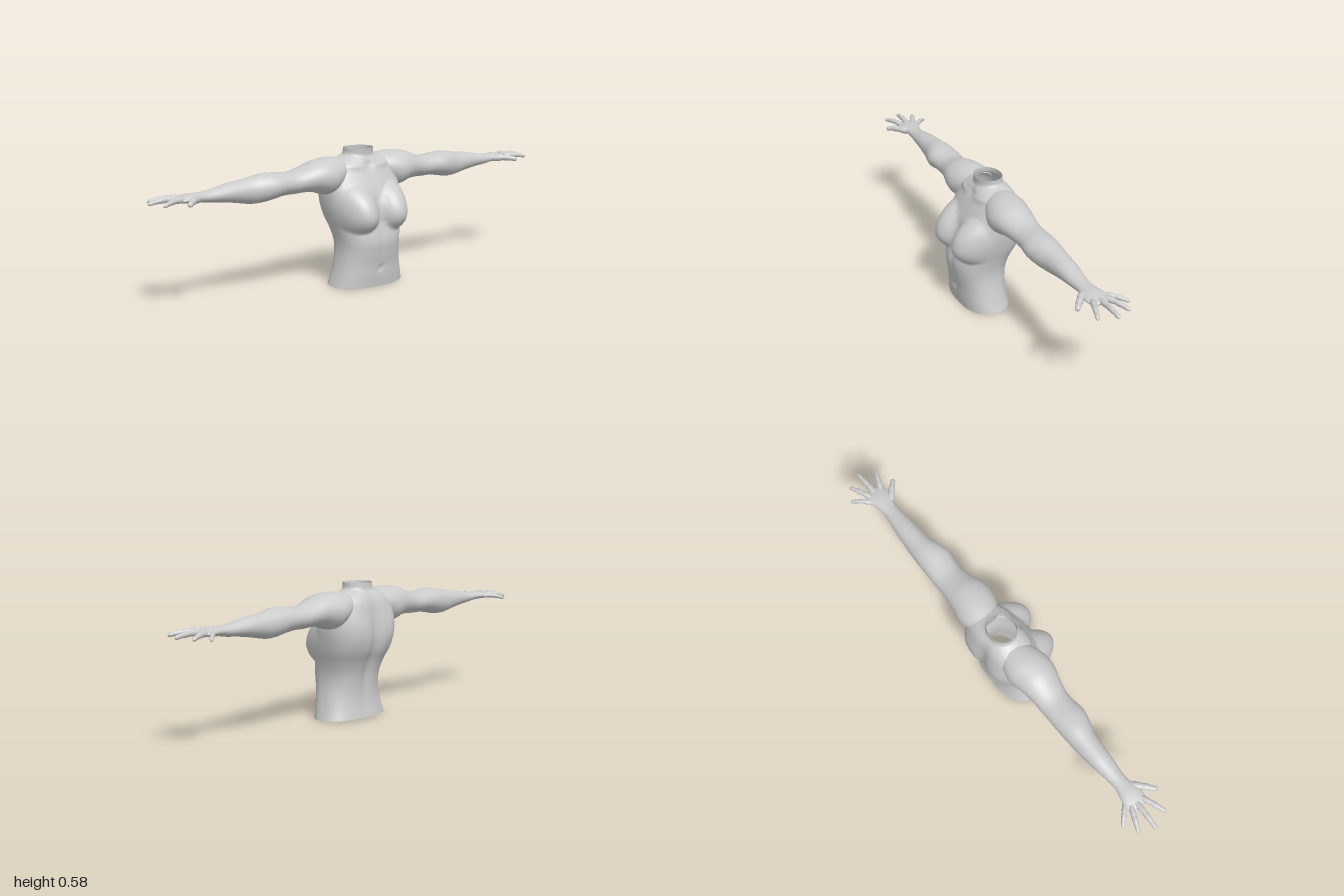
import * as THREE from 'three';

const skinMat = new THREE.MeshStandardMaterial({ color: 0xcccccc, side: THREE.DoubleSide });
const bell = (v, c, w) => Math.exp(-(((v - c) / w) ** 2));
const spow = (v, e) => Math.sign(v) * Math.abs(v) ** e;

// Smooth in-between rows for a list of measured stations
function refine(rows, steps) {
  const out = [];
  for (let i = 0; i < rows.length - 1; i++) {
    const [a, b, c, d] = [-1, 0, 1, 2].map(k => rows[Math.min(rows.length - 1, Math.max(0, i + k))]);
    for (let s = 0; s < steps; s++) {
      const t = s / steps;
      out.push(b.map((v, k) => v + 0.5 * t * (c[k] - a[k] +
        t * (2 * a[k] - 5 * v + 4 * c[k] - d[k] + t * (3 * (v - c[k]) + d[k] - a[k])))));
    }
  }
  out.push(rows[rows.length - 1]);
  return out;
}

// Closed rings of points joined into one smooth skin
function loft(name, rows, segments, pointAt) {
  const pos = [], index = [];
  rows.forEach((row, i) => {
    for (let j = 0; j < segments; j++) {
      pos.push(...pointAt(row, (j / segments) * Math.PI * 2));
      if (i === rows.length - 1) continue;
      const a = i * segments + j, b = i * segments + (j + 1) % segments;
      index.push(a, a + segments, b, b, a + segments, b + segments);
    }
  });
  const geo = new THREE.BufferGeometry();
  geo.setAttribute('position', new THREE.Float32BufferAttribute(pos, 3));
  geo.setIndex(index);
  geo.computeVertexNormals();
  const mesh = new THREE.Mesh(geo, skinMat);
  mesh.name = name;
  return mesh;
}

// Torso stations: height, half width, front z, back z
const TORSO = [
  [0.005, 0.176, 0.11, -0.102], [0.05, 0.163, 0.116, -0.094], [0.1, 0.151, 0.121, -0.09],
  [0.15, 0.143, 0.13, -0.093], [0.2, 0.144, 0.136, -0.102], [0.25, 0.155, 0.128, -0.12],
  [0.3, 0.17, 0.116, -0.145], [0.35, 0.181, 0.107, -0.157], [0.4, 0.187, 0.093, -0.156],
  [0.45, 0.184, 0.07, -0.148], [0.5, 0.168, 0.045, -0.137], [0.53, 0.14, 0.032, -0.123],
  [0.548, 0.095, 0.021, -0.108], [0.56, 0.071, 0.018, -0.102], [0.584, 0.067, 0.02, -0.099],
];

function torsoPoint([y, w, front, back], angle) {
  const neck = THREE.MathUtils.smoothstep(y, 0.5, 0.56);
  const e = 2 / (2.4 - 0.4 * neck);
  const c = Math.cos(angle), s = Math.sin(angle);
  const x = w * spow(c, e);
  const mid = (front + back) / 2;
  let z = mid + ((front - back) / 2) * spow(s, e);
  const ax = Math.abs(x);
  if (s > 0) {
    // breasts, fuller below than above
    const r2 = ((ax - 0.097) / 0.088) ** 2 + ((y - 0.318) / (y < 0.318 ? 0.076 : 0.125)) ** 2;
    z += 0.064 * Math.max(0, 1 - r2) ** 0.9 * Math.min(1, s * 2.5);
    // midline, navel, collarbones and the notch between them
    z -= 0.006 * bell(x, 0, 0.015) * bell(y, 0.25, 0.16);
    z -= 0.01 * bell(x, 0, 0.01) * bell(y, 0.085, 0.012);
    z += 0.006 * bell(y, 0.505 + ax * 0.12, 0.012) * bell(ax, 0.08, 0.05);
    z -= 0.008 * bell(x, 0, 0.018) * bell(y, 0.515, 0.02);
  } else {
    // spine furrow and shoulder blades
    z += 0.02 * bell(x, 0, 0.028) * bell(y, 0.3, 0.2);
    z -= 0.008 * bell(ax, 0.1, 0.045) * bell(y, 0.4, 0.08);
  }
  return [x, y + 0.004 * (s < 0 ? -s : 0) * bell(y, 0, 0.1) - 0.003 * Math.max(0, s) * bell(y, 0, 0.1), z];
}

// Arm stations: x, top y, bottom y, front z, back z
const ARM = [
  [0.085, 0.548, 0.45, 0.015, -0.112], [0.13, 0.554, 0.42, 0.038, -0.128],
  [0.17, 0.556, 0.4, 0.052, -0.134], [0.21, 0.553, 0.405, 0.054, -0.127],
  [0.25, 0.546, 0.418, 0.046, -0.119], [0.3, 0.528, 0.422, 0.031, -0.113],
  [0.35, 0.515, 0.42, 0.021, -0.111], [0.4, 0.516, 0.42, 0.023, -0.111],
  [0.45, 0.521, 0.413, 0.029, -0.11], [0.5, 0.52, 0.404, 0.018, -0.108],
  [0.55, 0.511, 0.403, 0.003, -0.104], [0.6, 0.504, 0.412, -0.003, -0.1],
  [0.65, 0.498, 0.421, -0.007, -0.096], [0.7, 0.488, 0.428, -0.011, -0.089],
  [0.75, 0.48, 0.433, -0.016, -0.082], [0.785, 0.478, 0.439, -0.014, -0.083],
  [0.82, 0.478, 0.442, -0.004, -0.091], [0.85, 0.475, 0.444, -0.002, -0.1],
  [0.875, 0.47, 0.447, -0.007, -0.098], [0.89, 0.465, 0.451, -0.022, -0.084],
  [0.895, 0.459, 0.457, -0.05, -0.056],
];

function armPoint([x, top, bottom, front, back], angle) {
  return [x, (top + bottom) / 2 + ((top - bottom) / 2) * Math.sin(angle),
    (front + back) / 2 + ((front - back) / 2) * Math.cos(angle)];
}

// Fingers: name, base, tip, radius
const FINGERS = [
  ['littleFinger', [0.845, 0.458, -0.088], [0.912, 0.446, -0.157], 0.0105],
  ['ringFinger', [0.865, 0.46, -0.076], [0.968, 0.451, -0.122], 0.012],
  ['middleFinger', [0.87, 0.461, -0.052], [1, 0.455, -0.056], 0.0125],
  ['indexFinger', [0.865, 0.461, -0.024], [0.972, 0.455, 0.019], 0.012],
  ['thumb', [0.8, 0.457, -0.022], [0.882, 0.452, 0.052], 0.015],
];

// Radius along a finger: joints swell, the tip closes
const FINGER_SHAPE = [[0, 1], [0.25, 1.05], [0.4, 0.88], [0.55, 0.95], [0.72, 0.76],
  [0.88, 0.72], [0.96, 0.5], [1, 0.01]];

function finger([name, base, tip, radius]) {
  const a = new THREE.Vector3(...base), b = new THREE.Vector3(...tip);
  const dir = b.clone().sub(a).normalize();
  const u = dir.clone().cross(new THREE.Vector3(0, 1, 0)).normalize();
  const v = u.clone().cross(dir);
  return loft(name, refine(FINGER_SHAPE, 3), 12, ([t, k], angle) => {
    const p = a.clone().lerp(b, t);
    p.y += 0.006 * Math.sin(Math.PI * t);
    return p.addScaledVector(u, radius * k * Math.cos(angle))
      .addScaledVector(v, radius * k * Math.sin(angle)).toArray();
  });
}

function makeArm(name) {
  const arm = new THREE.Group();
  arm.name = name;
  arm.add(loft('armAndPalm', refine(ARM, 4), 36, armPoint));
  FINGERS.forEach(f => arm.add(finger(f)));
  return arm;
}

export function createModel() {
  const model = new THREE.Group();
  model.name = 'torsoWithArms';
  model.add(loft('torso', refine(TORSO, 6), 96, torsoPoint));
  const right = makeArm('rightArm');
  right.scale.x = -1;
  model.add(makeArm('leftArm'), right);
  return model;
}
